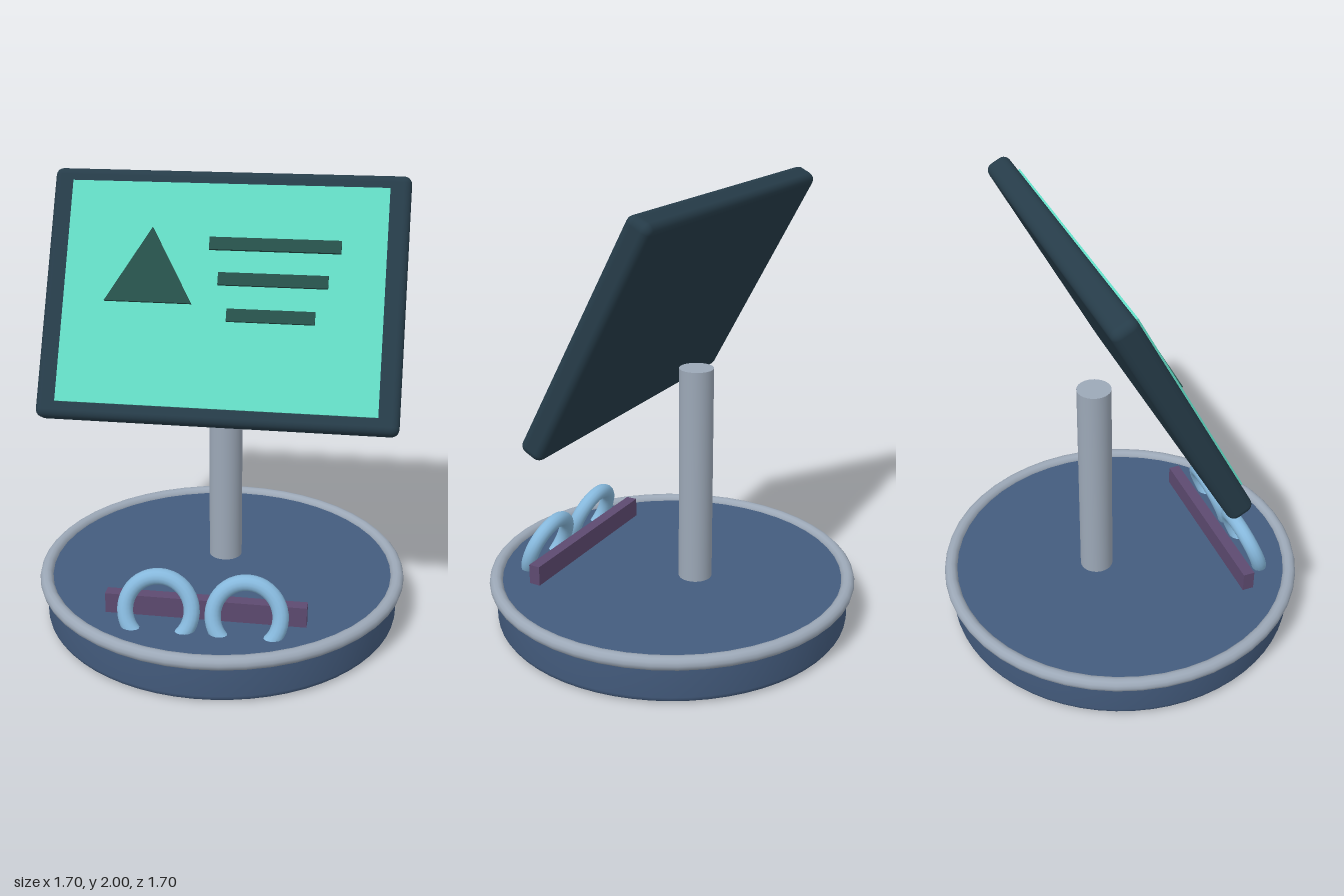
import * as THREE from 'three';
import { toCreasedNormals } from 'three/addons/utils/BufferGeometryUtils.js';
import { RoundedBoxGeometry } from 'three/addons/geometries/RoundedBoxGeometry.js';

const paint = (name, color) => {
  const m = new THREE.MeshStandardMaterial({ color });
  m.name = name;
  return m;
};

export function createModel() {
  const baseBlue = paint('base blue', 0x445c7e);
  const steel = paint('steel grey', 0x9ca8b7);
  const frameDark = paint('frame dark slate', 0x263c49);
  const screenMint = paint('screen mint', 0x63dcc5);
  const iconGreen = paint('icon dark green', 0x26504a);
  const ringBlue = paint('ring light blue', 0x86b8dc);
  const railPurple = paint('rail purple', 0x5d4a70);

  const model = new THREE.Group();
  model.name = 'displayStand';

  const add = (parent, name, geometry, material, x = 0, y = 0, z = 0) => {
    const mesh = new THREE.Mesh(geometry, material);
    mesh.name = name;
    mesh.position.set(x, y, z);
    parent.add(mesh);
    return mesh;
  };

  // Round base with a softened lower edge
  const R = 0.82, r = 0.03, top = 0.2;
  const profile = [new THREE.Vector2(0, 0)];
  for (let i = 0; i <= 4; i++) {
    const a = (i / 4) * Math.PI / 2;
    profile.push(new THREE.Vector2(R - r + r * Math.sin(a), r - r * Math.cos(a)));
  }
  profile.push(new THREE.Vector2(R, top), new THREE.Vector2(0, top));
  add(model, 'base', toCreasedNormals(new THREE.LatheGeometry(profile, 64), 0.6), baseBlue);

  // Rim around the top of the base
  const rim = add(model, 'baseRim', new THREE.TorusGeometry(R, 0.031, 12, 48), steel, 0, 0.194, 0);
  rim.rotation.x = Math.PI / 2;

  // Upright pole
  add(model, 'pole', new THREE.CylinderGeometry(0.077, 0.077, 1.017, 32), steel, 0, 0.698, -0.122);

  // Rail and the two leaning rings in front of it
  add(model, 'rail', new THREE.BoxGeometry(0.88, 0.1, 0.054), railPurple, 0, 0.243, 0.477);
  for (const side of [-1, 1]) {
    const ring = add(model, side < 0 ? 'rightRing' : 'leftRing',
      new THREE.TorusGeometry(0.145, 0.035, 14, 40), ringBlue, side * 0.19, 0.272, 0.572);
    ring.rotation.x = -0.36;
  }

  // Tilted panel
  const panel = new THREE.Group();
  panel.name = 'panel';
  panel.position.set(0, 1.488, -0.03);
  panel.rotation.x = -28 * Math.PI / 180;
  model.add(panel);
  add(panel, 'frame', new RoundedBoxGeometry(1.576, 1.126, 0.113, 4, 0.035), frameDark);
  add(panel, 'screen', new THREE.BoxGeometry(1.394, 0.99, 0.02), screenMint, 0, 0.002, 0.058);

  // Triangle icon
  const triangle = new THREE.Shape([
    new THREE.Vector2(-0.192, -0.111),
    new THREE.Vector2(0.192, -0.111),
    new THREE.Vector2(0, 0.222),
  ]);
  add(panel, 'triangleIcon',
    new THREE.ExtrudeGeometry(triangle, { depth: 0.018, bevelEnabled: false }),
    iconGreen, -0.318, 0.067, 0.068);

  // Three shrinking bars
  [[0.57, 0.226], [0.475, 0.071], [0.38, -0.087]].forEach(([width, y], i) => {
    add(panel, `bar${i + 1}`, new THREE.BoxGeometry(width, 0.055, 0.018), iconGreen, 0.22, y, 0.077);
  });

  return model;
}
